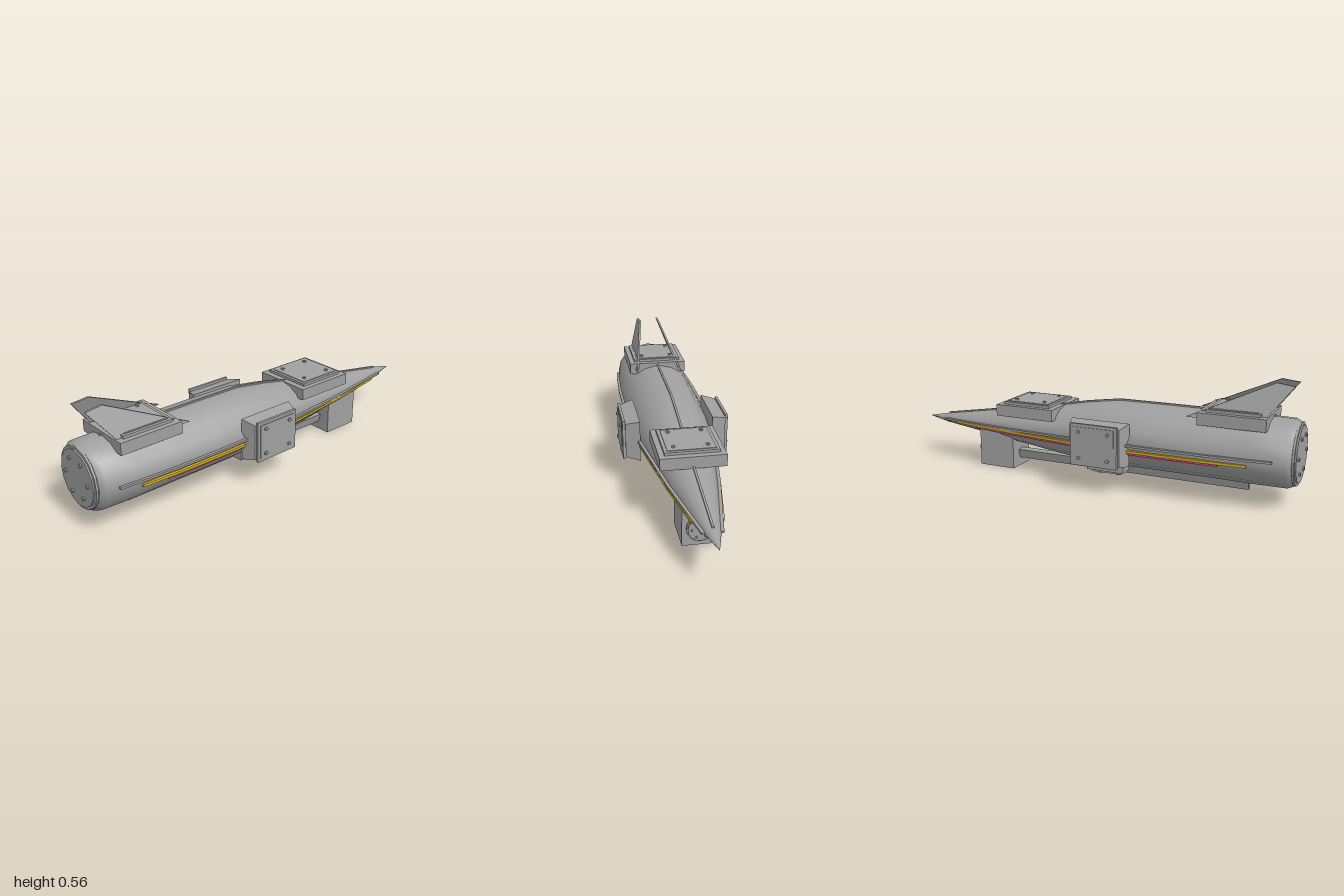
import * as THREE from 'three';

const grey = new THREE.MeshStandardMaterial({ color: 0xa0a0a0 });
grey.name = 'hull grey';
const yellow = new THREE.MeshStandardMaterial({ color: 0xd0b020 });
yellow.name = 'yellow';
const pink = new THREE.MeshStandardMaterial({ color: 0xd04080 });
pink.name = 'pink';

// Hull stations: z, half width, top, waist height, bottom
const stations = [
  [-1, 0.001, 0.207, 0.206, 0.205],
  [-0.88, 0.035, 0.232, 0.208, 0.182],
  [-0.5, 0.108, 0.295, 0.216, 0.137],
  [-0.2, 0.155, 0.345, 0.226, 0.098],
  [-0.05, 0.178, 0.375, 0.231, 0.084],
  [0.12, 0.196, 0.4, 0.237, 0.08],
  [0.35, 0.203, 0.401, 0.238, 0.08],
  [0.6, 0.201, 0.401, 0.238, 0.08],
  [0.8, 0.191, 0.4, 0.238, 0.081],
  [0.95, 0.176, 0.396, 0.238, 0.082],
  [0.975, 0.15, 0.384, 0.238, 0.092],
];

function hullAt(z) {
  let i = 0;
  while (i < stations.length - 2 && stations[i + 1][0] < z) i++;
  const a = stations[i], b = stations[i + 1];
  const t = (z - a[0]) / (b[0] - a[0]);
  const [, w, top, mid, bottom] = a.map((v, k) => v + (b[k] - v) * t);
  return { w, top, mid, bottom };
}

function mesh(name, geometry, material = grey) {
  const m = new THREE.Mesh(geometry, material);
  m.name = name;
  return m;
}

// Skin over rings of [x, y, z], counter-clockwise seen from +z, ordered by rising z
function loft(rings, smooth = false) {
  const n = rings[0].length;
  const pos = rings.flat(2), idx = [];
  for (let i = 0; i < rings.length - 1; i++) {
    for (let j = 0; j < n; j++) {
      const k = (j + 1) % n;
      const a = i * n + j, b = i * n + k, c = b + n, d = a + n;
      idx.push(a, b, c, a, c, d);
    }
  }
  const last = rings.length - 1;
  const base = pos.length / 3;
  pos.push(...rings[0].flat(), ...rings[last].flat());
  for (let j = 1; j < n - 1; j++) {
    idx.push(base, base + j + 1, base + j);
    idx.push(base + n, base + n + j, base + n + j + 1);
  }
  let g = new THREE.BufferGeometry();
  g.setAttribute('position', new THREE.Float32BufferAttribute(pos, 3));
  g.setIndex(idx);
  if (!smooth) g = g.toNonIndexed();
  g.computeVertexNormals();
  return g;
}

const rect = (x0, x1, y0, y1, z) => [[x0, y0, z], [x1, y0, z], [x1, y1, z], [x0, y1, z]];

// Strip following the hull; box(h, z) gives x0, x1, y0, y1
function strip(name, z0, z1, box, material) {
  const zs = [z0, ...stations.map((s) => s[0]).filter((z) => z > z0 && z < z1), z1];
  return mesh(name, loft(zs.map((z) => rect(...box(hullAt(z), z), z))), material);
}

// Disc or bolt whose axis is z, starting at z
function disc(name, r, z0, z1, sides, x = 0, y = 0) {
  const g = new THREE.CylinderGeometry(r, r, z1 - z0, sides).toNonIndexed();
  g.rotateX(Math.PI / 2);
  g.computeVertexNormals();
  const m = mesh(name, g);
  m.position.set(x, y, (z0 + z1) / 2);
  return m;
}

function box(name, w, h, z0, z1) {
  const m = mesh(name, new THREE.BoxGeometry(w, h, z1 - z0));
  m.position.z = (z0 + z1) / 2;
  return m;
}

// Equipment pod with a bolted hatch; local +z points away from the hull
function pod(name, at, rx, ry, inner, outer, depth, plate) {
  const g = new THREE.Group();
  g.name = name;
  const ring = ([w, h], z) => rect(-w / 2, w / 2, -h / 2, h / 2, z);
  g.add(mesh('podBlock', loft([ring(inner, 0), ring(outer, depth)])));
  const [w, h] = plate;
  g.add(box('hatchFrame', w, h, depth, depth + 0.013));
  g.add(box('hatchPanel', w - 0.03, h - 0.03, depth + 0.013, depth + 0.016));
  for (const sx of [-1, 1]) for (const sy of [-1, 1]) {
    g.add(disc('hatchBolt', 0.009, depth + 0.014, depth + 0.024, 6, sx * w * 0.31, sy * h * 0.31));
  }
  g.position.set(...at);
  g.rotation.set(rx, ry, 0);
  return g;
}

// Round cover with a ring of six bolts, facing local +z
function boltedCover(name, r, sides, boltRing) {
  const g = new THREE.Group();
  g.name = name;
  g.add(disc('coverRim', r, -0.01, 0.01, sides), disc('coverPlate', r * 0.91, 0.01, 0.017, sides));
  for (let i = 0; i < 6; i++) {
    const a = (i * Math.PI) / 3;
    g.add(disc('coverBolt', r * 0.065, 0.015, 0.025, 6, Math.cos(a) * boltRing, Math.sin(a) * boltRing));
  }
  return g;
}

export function createModel() {
  const model = new THREE.Group();
  model.name = 'spacecraft';

  // Hull: rounded diamond sections easing to a round end
  const quarter = [[1, 0], [0.83, 0.36], [0.66, 0.67], [0.36, 0.89]];
  const unit = [];
  for (let q = 0; q < 4; q++) {
    quarter.forEach((p, k) => {
      const [x, y] = q % 2 ? [quarter[4 - k]?.[0] ?? 0, quarter[4 - k]?.[1] ?? 1] : p;
      const sx = q === 0 || q === 3 ? 1 : -1, sy = q < 2 ? 1 : -1;
      unit.push([sx * x, sy * y]);
    });
  }
  const rings = stations.map(([z, w, top, mid, bottom]) => {
    const round = THREE.MathUtils.smoothstep(z, 0.55, 0.95);
    return unit.map(([ux, uy], i) => {
      const a = (i * Math.PI) / 8;
      const x = THREE.MathUtils.lerp(ux, Math.cos(a), round);
      const y = THREE.MathUtils.lerp(uy, Math.sin(a), round);
      return [x * w, mid + y * (y > 0 ? top - mid : mid - bottom), z];
    });
  });
  model.add(mesh('hull', loft(rings, true)));

  // Bolted front cover
  const cover = boltedCover('frontCover', 0.145, 16, 0.091);
  cover.position.set(0, 0.239, 0.975);
  model.add(cover);

  // Ridge and side seams
  model.add(strip('dorsalRidge', -0.88, 0.87, (h) => [-0.005, 0.005, h.top - 0.012, h.top + 0.006]));
  const sideX = (h, y) => h.w * (1 - 0.47 * Math.max(0, (h.mid - y) / (h.mid - h.bottom)));
  for (const s of [-1, 1]) {
    const span = (a, b) => (s > 0 ? [a, b] : [-b, -a]);
    model.add(strip('sideSeam', -0.88, 0.9, (h) => [...span(h.w - 0.015, h.w + 0.011), h.mid - 0.005, h.mid + 0.005]));
    const pipe = (name, z, y, r, out, mat) => strip(name, -z, z, (h) => {
      const x = sideX(h, y);
      return [...span(x - 0.012, x + out), y - r, y + r];
    }, mat);
    model.add(pipe('yellowPipe', 0.79, 0.207, 0.006, 0.018, yellow));
    model.add(pipe('pinkPipe', 0.66, 0.193, 0.004, 0.015, pink));
  }

  // Equipment pods on the top, sides and belly
  const up = -Math.PI / 2;
  model.add(pod('frontTopPod', [0, 0.358, 0.705], up, 0, [0.3, 0.31], [0.3, 0.31], 0.057, [0.25, 0.25]));
  model.add(pod('rearTopPod', [0, 0.292, -0.332], up, 0, [0.3, 0.31], [0.3, 0.31], 0.057, [0.25, 0.25]));
  for (const s of [-1, 1]) {
    model.add(pod(s > 0 ? 'leftPod' : 'rightPod', [s * 0.178, 0.232, 0.095], 0, (s * Math.PI) / 2,
      [0.293, 0.207], [0.25, 0.175], 0.069, [0.235, 0.2]));
  }
  model.add(pod('bellyPod', [0, 0.115, 0.08], -up, 0, [0.186, 0.19], [0.186, 0.19], 0.055, [0.15, 0.15]));

  // Keel rail
  const keel = (z) => [[-0.012, 0.042, z], [0.012, 0.042, z], [0.025, 0.088, z], [-0.025, 0.088, z]];
  model.add(mesh('keelRail', loft([keel(-0.45), keel(0.765)])));

  // Rear block with its bolted cover
  const block = box('rearBlock', 0.16, 0.195, -0.635, -0.44);
  block.position.y = 0.0975;
  model.add(block);
  const rearCover = boltedCover('rearCover', 0.062, 16, 0.04);
  rearCover.position.set(0, 0.086, -0.637);
  rearCover.rotation.y = Math.PI;
  model.add(rearCover);

  // Twin tilted fins, drawn as [z, y] and leaned inward
  const outline = [[0.83, 0.385], [0.855, 0.418], [0.957, 0.55], [0.875, 0.56], [0.57, 0.42], [0.49, 0.384]];
  const finShape = new THREE.Shape(outline.map(([z, y]) => new THREE.Vector2(-z, y)));
  for (const s of [-1, 1]) {
    const g = new THREE.ExtrudeGeometry(finShape, { depth: 0.01, bevelEnabled: false });
    g.translate(0, 0, -0.005);
    g.rotateY(Math.PI / 2);
    const p = g.attributes.position;
    for (let i = 0; i < p.count; i++) {
      p.setX(i, p.getX(i) + s * (0.052 + (0.558 - p.getY(i)) * 0.37));
    }
    g.computeVertexNormals();
    model.add(mesh(s > 0 ? 'leftFin' : 'rightFin', g));
  }
  return model;
}
